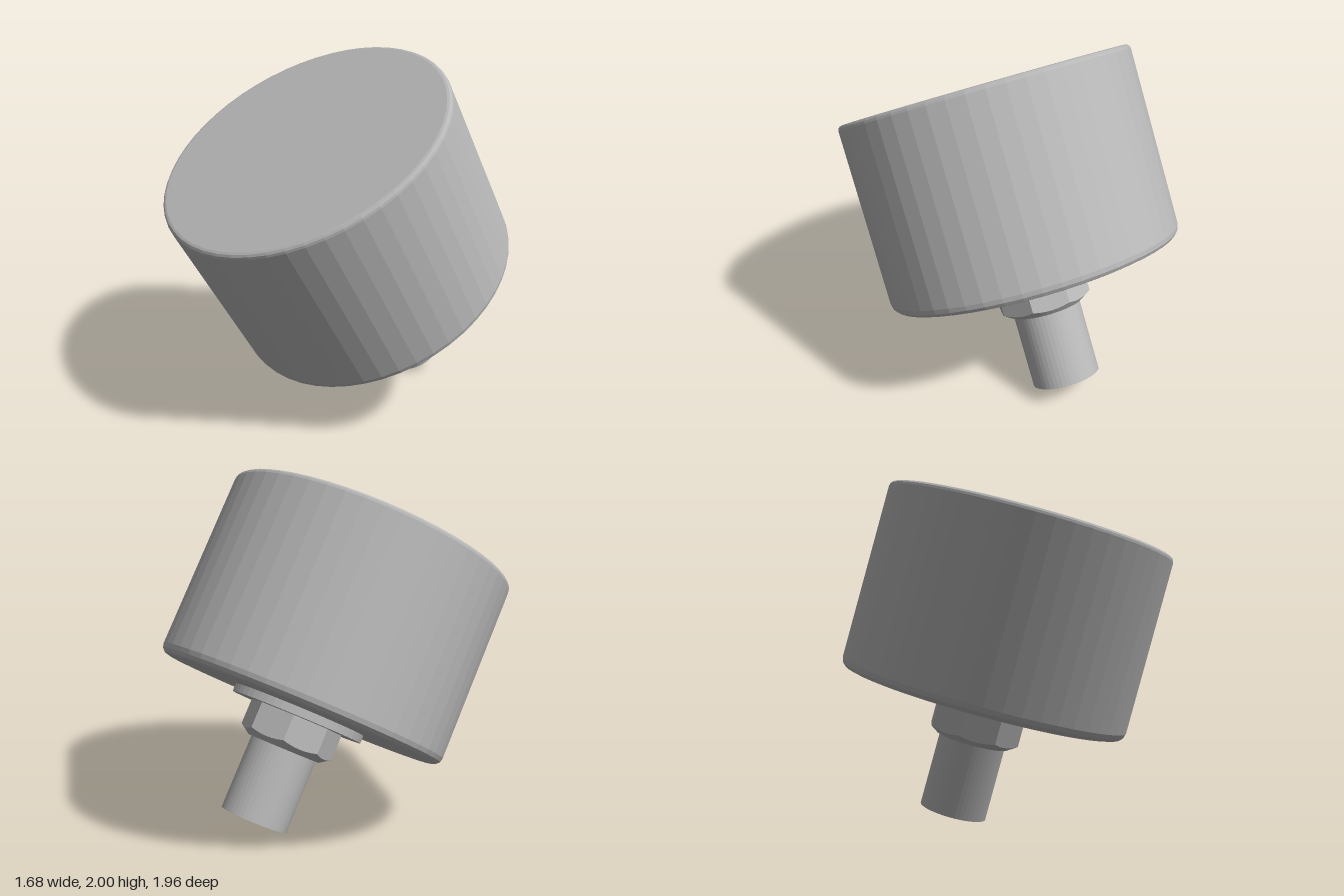
import * as THREE from 'three';

const metal = new THREE.MeshStandardMaterial({ color: 0xb8b8b8 });
metal.name = 'grey metal';

// one flat normal per facet
function faceted(geometry) {
  const g = geometry.toNonIndexed();
  g.computeVertexNormals();
  return g;
}

// profile runs from the bottom pole to the top pole as [radius, height]
function lathe(profile, segments) {
  return new THREE.LatheGeometry(profile.map(([r, y]) => new THREE.Vector2(r, y)), segments);
}

// quarter-round corner between start and end angle, as profile points
function fillet(cx, cy, r, from, to, steps) {
  return Array.from({ length: steps + 1 }, (_, i) => {
    const a = from + (to - from) * i / steps;
    return [cx + r * Math.cos(a), cy + r * Math.sin(a)];
  });
}

// eight-sided nut whose lower rim is cut by a cone, giving a scalloped edge
function nutGeometry(R, top, bottom, innerRadius, coneTop) {
  const sides = 8, step = 2 * Math.PI / sides;
  const g = lathe([[0, bottom], [innerRadius, bottom], [R, coneTop], [R, top], [0, top]], sides * 6);
  const p = g.attributes.position;
  const slope = (coneTop - bottom) / (R - innerRadius);
  for (let i = 0; i < p.count; i++) {
    const x = p.getX(i), y = p.getY(i), z = p.getZ(i);
    if (Math.hypot(x, z) < R - 0.001) continue;
    const a = (Math.atan2(x, z) + 2 * Math.PI) % step;
    const r = R * Math.cos(step / 2) / Math.cos(a - step / 2);
    const k = r / R;
    const newY = y < top - 0.001 ? coneTop - (R - r) * slope : y;
    p.setXYZ(i, x * k, newY, z * k);
  }
  return g;
}

export function createModel() {
  const model = new THREE.Group();
  model.name = 'gaugeBody';

  const tilted = new THREE.Group();
  tilted.name = 'tiltedAssembly';
  tilted.position.set(0, 0.281, -0.488);
  tilted.rotation.x = Math.PI / 6;
  model.add(tilted);

  const add = (name, geometry) => {
    const mesh = new THREE.Mesh(faceted(geometry), metal);
    mesh.name = name;
    tilted.add(mesh);
  };

  // drum with a larger round at the bottom than at the top
  const R = 0.838, low = 0.443, high = 1.515, rLow = 0.05, rHigh = 0.026;
  add('drum', lathe([
    [0, low],
    ...fillet(R - rLow, low + rLow, rLow, -Math.PI / 2, 0, 3),
    ...fillet(R - rHigh, high - rHigh, rHigh, 0, Math.PI / 2, 3),
    [0, high],
  ], 52));

  // washer, nut and stem under the drum
  add('washer', lathe([[0, 0.398], [0.386, 0.398], [0.386, 0.45], [0, 0.45]], 52));
  add('nut', nutGeometry(0.272, 0.405, 0.21, 0.21, 0.252));
  add('stem', lathe([[0, -0.213], [0.193, -0.213], [0.193, 0.23], [0, 0.23]], 48));

  return model;
}
